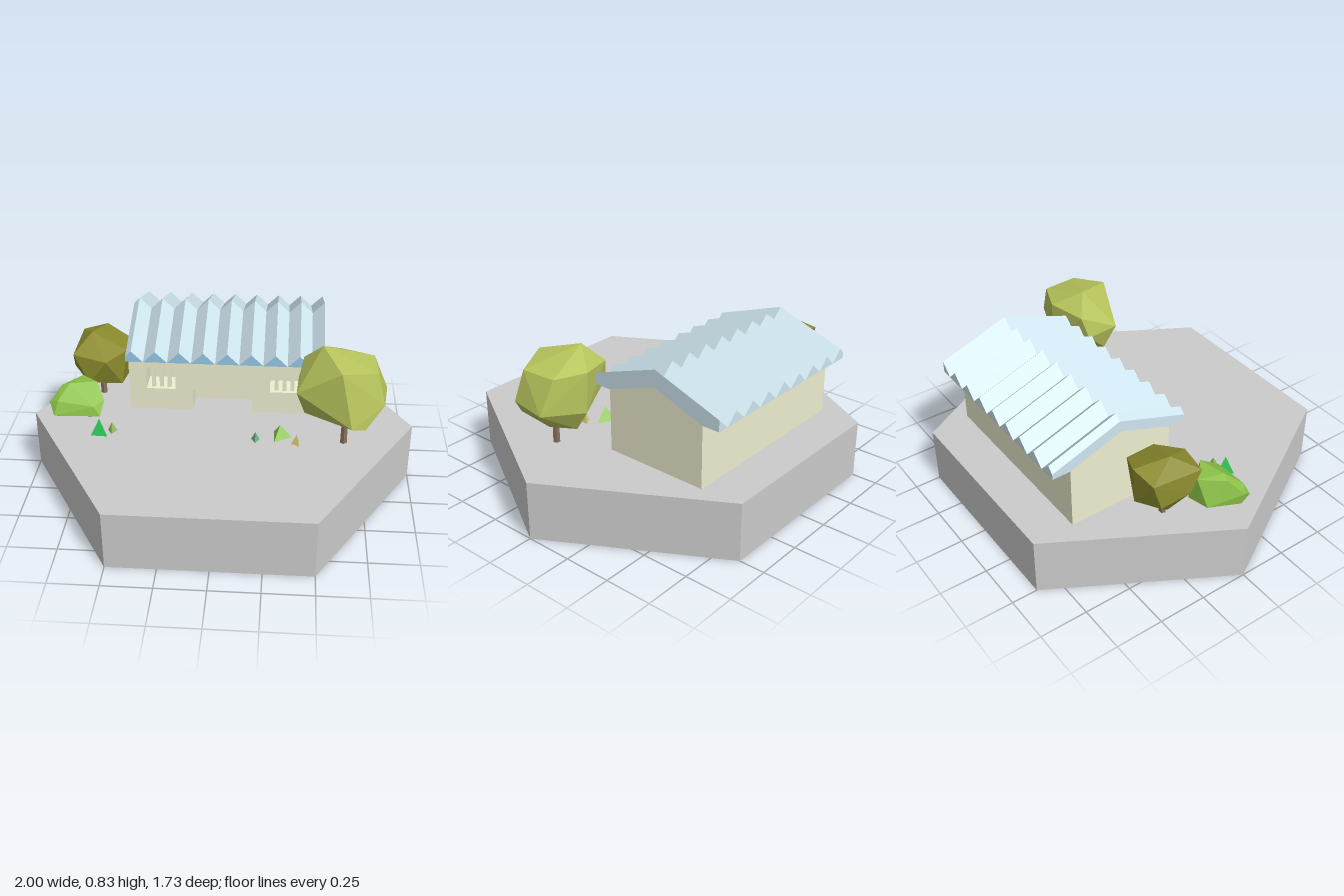
import * as THREE from 'three';
import { ConvexGeometry } from 'three/addons/geometries/ConvexGeometry.js';

const GROUND = 0.31;
const mat = (color, side = THREE.FrontSide) =>
  new THREE.MeshStandardMaterial({ color, flatShading: true, side });

function add(parent, name, geometry, material, x = 0, y = 0, z = 0) {
  const mesh = new THREE.Mesh(geometry, material);
  mesh.name = name;
  mesh.position.set(x, y, z);
  parent.add(mesh);
  return mesh;
}

const shapeOf = (pts) => new THREE.Shape(pts.map(([x, y]) => new THREE.Vector2(x, y)));

// Angular foliage: convex hull around a few corner points
const foliage = (pts) => new ConvexGeometry(pts.map((p) => new THREE.Vector3(...p)));

// Triangle soup from a list of corner triples
function facets(tris) {
  const g = new THREE.BufferGeometry();
  g.setAttribute('position', new THREE.Float32BufferAttribute(tris.flat(2), 3));
  g.computeVertexNormals();
  return g;
}

function buildHouse() {
  const house = new THREE.Group();
  house.name = 'house';
  const wall = mat(0xeeeecf);
  const x0 = -0.5, x1 = 0.52, front = -0.09, depth = 0.13;

  // Gabled body behind the front wall (profile drawn in -z, y)
  const body = new THREE.ExtrudeGeometry(shapeOf([
    [0.22, GROUND], [0.65, GROUND], [0.65, 0.64], [0.37, 0.74], [0.09, 0.64], [0.22, 0.64],
  ]), { depth: x1 - x0, bevelEnabled: false });
  body.rotateY(Math.PI / 2);
  add(house, 'houseBody', body, wall, x0);

  // Front wall with a low doorway notch and two window openings
  const face = shapeOf([
    [x0, GROUND], [-0.16, GROUND], [-0.16, 0.435], [0.155, 0.435],
    [0.155, GROUND], [x1, GROUND], [x1, 0.64], [x0, 0.64],
  ]);
  for (const cx of [-0.33, 0.325]) {
    const l = cx - 0.077, r = cx + 0.077;
    face.holes.push(new THREE.Path([[l, 0.435], [l, 0.56], [r, 0.56], [r, 0.435]]
      .map(([x, y]) => new THREE.Vector2(x, y))));
    for (const dx of [-0.042, 0, 0.042]) {
      add(house, 'windowBar', new THREE.BoxGeometry(0.02, 0.125, 0.02), wall, cx + dx, 0.4975, front - 0.03);
    }
  }
  add(house, 'frontWall', new THREE.ExtrudeGeometry(face, { depth, bevelEnabled: false }),
    wall, 0, 0, front - depth);

  house.add(buildRoof(x0, 0.524));
  return house;
}

// Zigzag roof lofted from gable cross-sections at each fold
function buildRoof(x0, x1) {
  const roof = new THREE.Group();
  roof.name = 'roof';
  const period = 0.1243, firstPeak = -0.47, fold = 0.06;
  const section = (x, drop) => [
    [0, 0.7 - drop], [-0.375, 0.83 - drop], [-0.745, 0.7 - drop],
    [-0.745, 0.64], [-0.65, 0.64], [-0.37, 0.74], [-0.09, 0.64], [0, 0.64],
  ].map(([z, y]) => [x, y, z]);

  const sections = [section(x0, fold / 2)];
  for (let i = 0; i <= 16; i++) {
    const x = i === 16 ? x1 : firstPeak + i * period / 2;
    sections.push(section(x, i % 2 ? fold : 0));
  }

  const panels = [], eaves = [];
  for (let i = 0; i < sections.length - 1; i++) {
    const a = sections[i], b = sections[i + 1];
    for (let j = 0; j < 8; j++) {
      const k = (j + 1) % 8;
      (j === 7 ? eaves : panels).push([a[j], b[j], b[k]], [a[j], b[k], a[k]]);
    }
  }
  // Gable end caps
  const first = sections[0], last = sections[sections.length - 1];
  for (const [a, b, c] of [[0, 7, 6], [0, 6, 5], [0, 5, 1], [1, 5, 2], [2, 5, 4], [2, 4, 3]]) {
    panels.push([last[a], last[b], last[c]], [first[a], first[c], first[b]]);
  }
  add(roof, 'roofPanels', facets(panels), mat(0xcfe5ef, THREE.DoubleSide));
  add(roof, 'frontEaveTriangles', facets(eaves), mat(0x96c8e6, THREE.DoubleSide));
  return roof;
}

function buildTree(name, crown, color, x, z) {
  const tree = new THREE.Group();
  tree.name = name;
  add(tree, 'crown', foliage(crown), mat(color));
  add(tree, 'trunk', new THREE.CylinderGeometry(0.016, 0.018, 0.18, 5), mat(0x8a705c), x, GROUND + 0.09, z);
  return tree;
}

export function createModel() {
  const model = new THREE.Group();
  model.name = 'houseOnHexagon';

  // Hexagonal ground block
  add(model, 'ground', new THREE.CylinderGeometry(1, 1, GROUND, 6, 1, false, Math.PI / 2),
    mat(0xcccccc), 0, GROUND / 2);

  model.add(buildHouse());

  model.add(buildTree('frontTree', [
    [0.51, 0.82, 0.1], [0.42, 0.72, 0.03], [0.61, 0.74, -0.035], [0.77, 0.74, 0.03],
    [0.6, 0.77, 0.3], [0.78, 0.74, 0.22], [0.845, 0.57, 0.05], [0.82, 0.58, 0.25],
    [0.66, 0.49, 0.345], [0.73, 0.47, 0.31], [0.385, 0.62, 0.23], [0.395, 0.6, 0.06],
    [0.43, 0.48, 0.18], [0.68, 0.41, 0.17], [0.62, 0.42, 0.04], [0.62, 0.53, -0.03],
  ], 0xb8c45c, 0.635, 0.175));

  model.add(buildTree('sideTree', [
    [-0.715, 0.68, -0.25], [-0.79, 0.62, -0.4], [-0.66, 0.65, -0.42], [-0.53, 0.6, -0.36],
    [-0.525, 0.6, -0.2], [-0.8, 0.6, -0.13], [-0.62, 0.58, -0.086], [-0.81, 0.5, -0.2],
    [-0.8, 0.48, -0.36], [-0.53, 0.42, -0.3], [-0.55, 0.42, -0.16], [-0.72, 0.36, -0.26],
    [-0.62, 0.37, -0.32], [-0.66, 0.45, -0.41], [-0.72, 0.45, -0.1],
  ], 0x8a8a2e, -0.67, -0.25));

  add(model, 'bush', foliage([
    [-0.8, 0.505, 0.01], [-0.66, 0.505, -0.02], [-0.84, 0.49, 0], [-0.615, 0.43, 0.04],
    [-0.63, 0.37, 0.11], [-0.87, 0.37, 0.12], [-0.9, 0.42, 0.06], [-0.89, 0.36, 0.05],
    [-0.75, 0.49, -0.11], [-0.7, 0.35, -0.12], [-0.82, 0.36, -0.1], [-0.78, 0.31, 0.02],
    [-0.68, 0.32, 0], [-0.66, 0.42, 0.1], [-0.85, 0.44, 0.09],
  ]), mat(0x8cc248));

  // Small three-sided shrubs: x, z, radius, height, turn, colour
  for (const [x, z, r, h, turn, color] of [
    [-0.62, 0.18, 0.05, 0.09, 1.0, 0x2cc455],
    [-0.56, 0.155, 0.028, 0.055, 0, 0x9cbc60],
    [0.185, 0.19, 0.026, 0.05, 0, 0x66bb80],
    [0.31, 0.15, 0.06, 0.075, 1.6, 0x9cd468],
    [0.395, 0.21, 0.028, 0.055, 0.5, 0xdccb7c],
  ]) {
    add(model, 'shrub', new THREE.ConeGeometry(r, h, 3), mat(color), x, GROUND + h / 2, z).rotation.y = turn;
  }
  return model;
}
